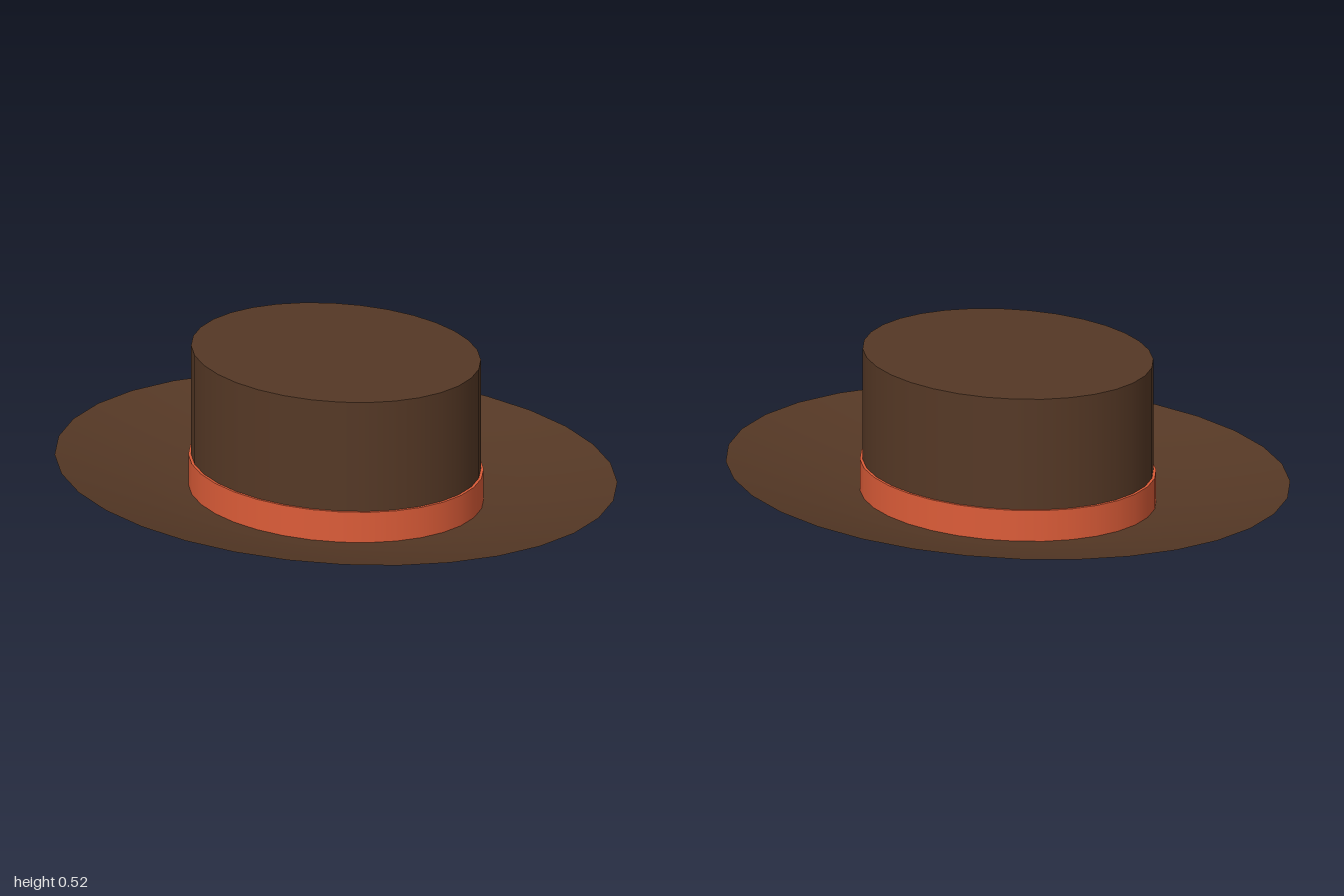
import * as THREE from 'three';

const SEGMENTS = 32;
const DEPTH = 0.806; // the hat is oval: narrower front to back

const felt = new THREE.MeshStandardMaterial({ color: 0x553825, side: THREE.DoubleSide });
const ribbon = new THREE.MeshStandardMaterial({ color: 0xdc5c38, side: THREE.DoubleSide });

// Turn a profile of [radius, height] points into an oval surface
function ovalPart(name, profile, material) {
  const points = profile.map(([r, y]) => new THREE.Vector2(r, y));
  const geometry = new THREE.LatheGeometry(points, SEGMENTS);
  geometry.scale(1, 1, DEPTH);
  const mesh = new THREE.Mesh(geometry, material);
  mesh.name = name;
  return mesh;
}

export function createModel() {
  const hat = new THREE.Group();
  hat.name = 'hat';

  // Thin brim that curls gently upward to its edge
  const brim = [];
  for (let i = 0; i <= 6; i++) {
    const t = i / 6;
    brim.push([0.525 + 0.475 * t, 0.087 * Math.pow(t, 1.3)]);
  }
  hat.add(ovalPart('brim', brim, felt));

  // Ribbon band with the narrow ledge on its upper edge
  hat.add(ovalPart('band', [[0.525, 0], [0.525, 0.113]], ribbon));
  hat.add(ovalPart('bandLedge', [[0.525, 0.113], [0.515, 0.113]], ribbon));

  // Hollow crown, open below, with a flat top
  hat.add(ovalPart('crownWall', [[0.515, 0.113], [0.515, 0.52]], felt));
  const top = new THREE.CircleGeometry(0.515, SEGMENTS);
  top.rotateX(-Math.PI / 2).scale(1, 1, DEPTH).translate(0, 0.52, 0);
  const crownTop = new THREE.Mesh(top, felt);
  crownTop.name = 'crownTop';
  hat.add(crownTop);

  return hat;
}
